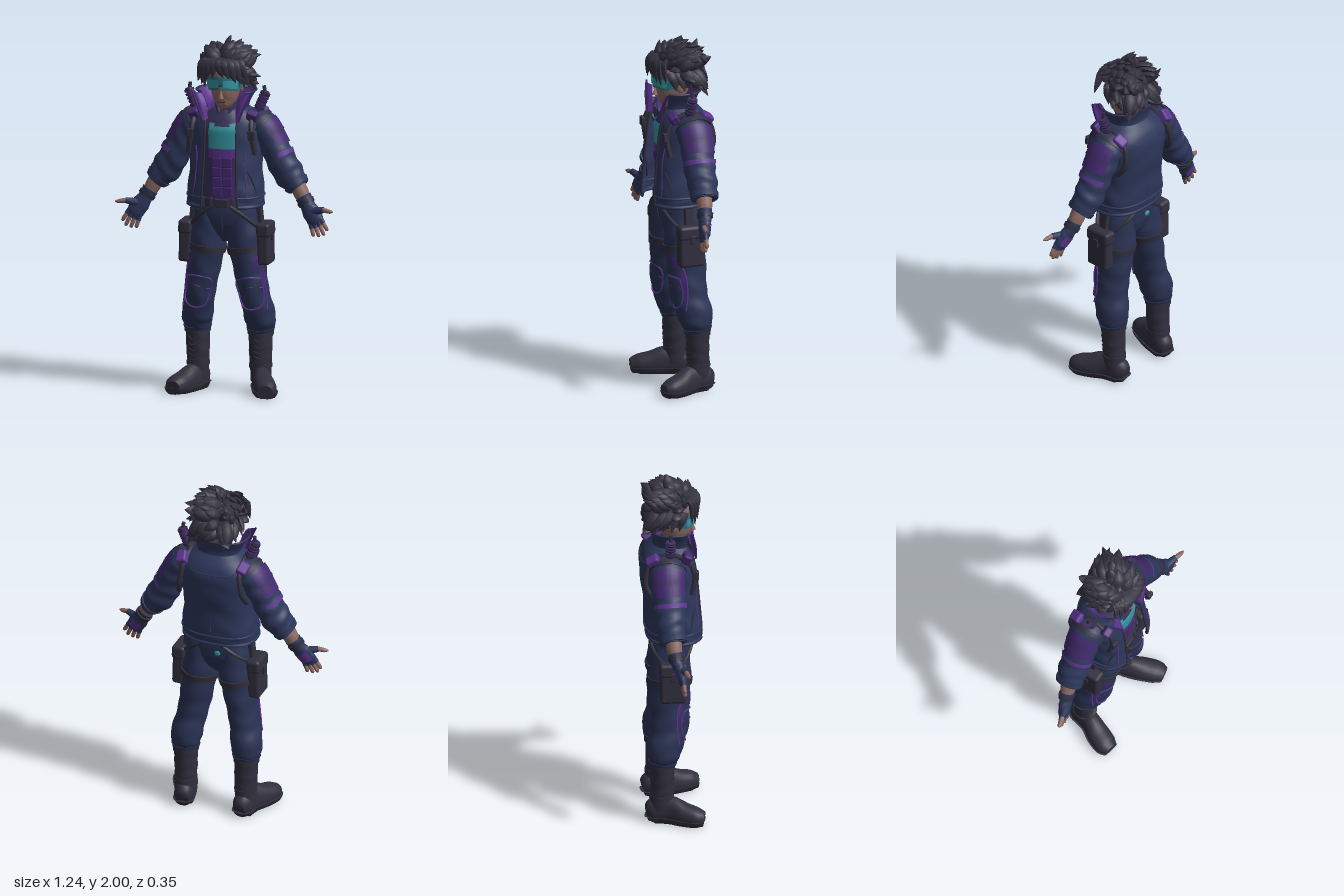
import * as THREE from 'three';
import { mergeGeometries, mergeVertices, toCreasedNormals } from 'three/addons/utils/BufferGeometryUtils.js';
import { ParametricGeometry } from 'three/addons/geometries/ParametricGeometry.js';
import { RoundedBoxGeometry } from 'three/addons/geometries/RoundedBoxGeometry.js';

const V = (x = 0, y = 0, z = 0) => new THREE.Vector3(x, y, z);
const clamp = THREE.MathUtils.clamp, PI = Math.PI, F = PI / 2;
const spline = (pts) => new THREE.CatmullRomCurve3(pts);
const mat = (name, color) => Object.assign(new THREE.MeshStandardMaterial({ color, side: THREE.DoubleSide }), { name });

const M = {
  navy: mat('jacket navy', 0x2d375b), pants: mat('trouser navy', 0x2a3354), skin: mat('skin', 0x8d6a62),
  leather: mat('dark leather', 0x312f3d), hair: mat('hair', 0x353240), purple: mat('purple', 0x43296e),
  violet: mat('violet', 0x5c3590), teal: mat('teal', 0x28707e), cyan: mat('cyan', 0x3697a2), under: mat('undershirt', 0x373258),
};

// Welds a surface and smooths it, keeping hard edges
function finish(g) {
  g.deleteAttribute('normal'); g.deleteAttribute('uv');
  return toCreasedNormals(mergeVertices(g, 1e-5), 1);
}
// Point on a tube of elliptical sections [x, y, z, a, b]; b lies along ref
function surf(secs, o = {}) {
  const path = spline(secs.map((s) => V(s[0], s[1], s[2]))), rad = spline(secs.map((s) => V(s[3], s[4], 0)));
  const p = o.pow || 1, bend = (x) => Math.sign(x) * Math.abs(x) ** p;
  const f = (th, s, off = 0) => {
    const t = path.getTangent(s), v = (o.ref || V(0, 0, 1)).clone();
    v.addScaledVector(t, -v.dot(t)).normalize();
    const u = v.clone().cross(t), r = rad.getPoint(s);
    const k = 1 + (o.fold || 0) * Math.sin(s * (o.freq || 30) + 1.5 * Math.sin(2 * th) + Math.cos(th));
    const q = path.getPoint(s).addScaledVector(u, bend(Math.cos(th)) * (r.x * k + off)).addScaledVector(v, bend(Math.sin(th)) * (r.y * k + off));
    q.y = clamp(q.y, o.minY ?? -9, o.maxY ?? 9);
    return q;
  };
  f.path = path;
  return f;
}
function loft(secs, o = {}) {
  const { from = 0, to = 2 * PI, s0 = 0, s1 = 1, nu = 24, nv = 24, off = 0, cap = true } = o, f = surf(secs, o);
  return finish(new ParametricGeometry((u, v, target) => {
    const row = v * nv, w = cap ? clamp((row - 1) / (nv - 2), 0, 1) : v, s = s0 + (s1 - s0) * w;
    target.copy(f(from + u * (to - from), s, off));
    const k = cap ? clamp(Math.min(row, nv - row), 0, 1) : 1;
    if (k < 1) {
      const c = f.path.getPoint(s);
      c.y = clamp(c.y, o.minY ?? -9, o.maxY ?? 9);
      target.lerp(c, 1 - k);
    }
  }, nu, nv));
}
// Raised patch or band on a tube
const band = (secs, s0, s1, off, from = 0, to = 2 * PI, o = {}) => loft(secs, { ...o, s0, s1, off, from, to, nv: 8, cap: to - from > 6 });
const tube = (pts, r = 0.004, n = 20) => new THREE.TubeGeometry(spline(pts), n, r, 6);
const ball = (x, y, z, a, b, c) => new THREE.SphereGeometry(1, 18, 12).scale(a, b, c).translate(x, y, z);
const box = (w, h, d, x, y, z, rz = 0, rx = 0) => new RoundedBoxGeometry(w, h, d, 2, Math.min(w, h, d) * 0.25).rotateX(rx).rotateZ(rz).translate(x, y, z);
function rod(a, b, r0, r1 = r0) {
  const d = b.clone().sub(a), q = new THREE.Quaternion().setFromUnitVectors(V(0, 1, 0), d.clone().normalize());
  return new THREE.CylinderGeometry(r1, r0, d.length(), 14).applyQuaternion(q).translate(...a.clone().add(b).multiplyScalar(0.5).toArray());
}
function mirror(g) {
  const m = g.clone().scale(-1, 1, 1);
  const idx = m.index ? Array.from(m.index.array) : Array.from({ length: m.attributes.position.count }, (_, i) => i);
  for (let i = 0; i < idx.length; i += 3) [idx[i], idx[i + 1]] = [idx[i + 1], idx[i]];
  m.setIndex(idx);
  return m;
}
// Shell open at the front, rows [y, halfWidth, zFront, zBack, gap]
function shell(rows, inset = 0) {
  const A = spline(rows.map((r) => V(r[0], r[1], r[4]))), B = spline(rows.map((r) => V(r[2], r[3], 0)));
  return (u, v) => {
    const a = A.getPoint(v), b = B.getPoint(v), p0 = Math.asin(Math.min(1, (a.z / a.y) ** 1.25));
    const p = p0 + u * 2 * (PI - p0), e = (x) => Math.sign(x) * Math.abs(x) ** 0.8;
    return V(e(Math.sin(p)) * (a.y - inset), a.x, (b.x + b.y) / 2 + e(Math.cos(p)) * ((b.x - b.y) / 2 - inset));
  };
}
const sheet = (f, nu = 48, nv = 24) => finish(new ParametricGeometry((u, v, t) => t.copy(f(u, v)), nu, nv));

export function createModel() {
  const root = new THREE.Group();
  const add = (name, g, m) => { const o = new THREE.Mesh(g, m); o.name = name; root.add(o); };
  const pair = (name, g, m) => { add(name + 'Left', g, m); add(name + 'Right', mirror(g), m); };

  // Torso and undershirt, built from the top down
  const torso = [[0, 1.6, -0.01, 0.07, 0.07], [0, 1.55, -0.015, 0.13, 0.1], [0, 1.48, -0.02, 0.17, 0.125], [0, 1.35, -0.02, 0.165, 0.12], [0, 1.2, -0.015, 0.155, 0.105], [0, 1.05, -0.01, 0.155, 0.1]];
  add('undershirt', loft(torso), M.under);
  add('chestPlate', band(torso, 0.3, 0.56, 0.006, F - 0.46, F + 0.46), M.cyan);
  pair('chestPlateTab', band(torso, 0.25, 0.3, 0.006, F - 0.5, F - 0.28), M.cyan);
  add('chestBand', band(torso, 0.555, 0.63, 0.009, F - 0.46, F + 0.46), M.violet);
  add('abdomen', band(torso, 0.63, 0.94, 0.003, F - 0.42, F + 0.42), M.purple);
  for (let i = 0; i < 4; i++) pair('abMuscle' + i, box(0.054, 0.052, 0.02, 0.0295, 1.305 - i * 0.055, 0.096 - i * 0.004), M.purple);
  add('neck', rod(V(0, 1.53, -0.02), V(0, 1.68, 0.01), 0.068, 0.056), M.under);
  pair('neckMuscle', rod(V(0.02, 1.55, 0.06), V(0.05, 1.65, 0.03), 0.012), M.under);

  // Open jacket
  const coat = shell([[1.055, 0.205, 0.165, -0.135, 0.105], [1.12, 0.212, 0.17, -0.152, 0.1], [1.25, 0.2, 0.16, -0.155, 0.095], [1.4, 0.2, 0.145, -0.175, 0.09], [1.5, 0.205, 0.132, -0.178, 0.09], [1.56, 0.18, 0.115, -0.155, 0.09], [1.61, 0.12, 0.1, -0.11, 0.085]]);
  add('jacket', sheet((u, v) => {
    const p = coat(u, v), k = 1 + 0.016 * Math.sin(v * 34 + Math.sin(u * 22) * 1.6) * (1 - v);
    return p.set(p.x * k, p.y, p.z * k);
  }, 56, 32), M.navy);
  const along = (f, us, vs) => us.map((u, i) => f(u, vs[i]));
  const steps = Array.from({ length: 21 }, (_, i) => i / 20);
  add('jacketHem', tube(steps.map((u) => coat(u, 0.03)), 0.011, 60), M.navy);
  add('waistSeam', tube(steps.map((u) => coat(u, 0.16)), 0.006, 60), M.navy);
  pair('frontTrim', tube(steps.map((v) => coat(0, v)), 0.006, 30), M.leather);
  pair('frontPiping', tube(along(coat, [0.06, 0.055, 0.05, 0.06], [0.15, 0.3, 0.42, 0.5])), M.violet);
  pair('pocketSeam', tube(along(coat, [0.07, 0.1, 0.13], [0.35, 0.3, 0.2]), 0.005), M.leather);
  add('backPiping', tube(along(coat, [0.5, 0.5, 0.5], [0.2, 0.25, 0.3]), 0.004), M.purple);
  add('backSeam', tube(along(coat, [0.36, 0.43, 0.5, 0.57, 0.64], [0.76, 0.72, 0.71, 0.72, 0.76]), 0.004), M.navy);

  // Flared collar with lining and turned-out lapels
  const flare = [[1.55, 0.125, 0.1, -0.125, 0.09], [1.62, 0.125, 0.105, -0.105, 0.095], [1.7, 0.165, 0.12, -0.125, 0.13]];
  const collar = shell(flare), lining = shell(flare, 0.01);
  add('collar', sheet(collar, 40, 10), M.navy);
  add('collarLining', sheet(lining, 40, 10), M.violet);
  add('collarRim', tube(steps.map((u) => collar(u, 1)), 0.006, 60), M.navy);
  const inner = spline([V(0.078, 1.55, 0.105), V(0.085, 1.63, 0.1), V(0.115, 1.69, 0.09)]);
  const outer = spline([V(0.1, 1.54, 0.128), V(0.135, 1.63, 0.122), V(0.168, 1.705, 0.105)]);
  const lapel = (u, v) => inner.getPoint(v).lerp(outer.getPoint(v), u).add(V(0, 0, 0.012 * Math.sin(PI * u)));
  pair('lapel', sheet(lapel, 6, 10), M.violet);
  pair('lapelEdge', tube(steps.map((v) => lapel(1, v)), 0.006), M.purple);

  // Shoulder harness with upright grips
  pair('shoulderStrap', tube([V(0.19, 1.36, 0.1), V(0.175, 1.46, 0.115), V(0.165, 1.54, 0.085), V(0.16, 1.59, -0.02), V(0.165, 1.54, -0.13), V(0.185, 1.42, -0.155), V(0.2, 1.35, -0.11)], 0.015, 40), M.leather);
  pair('backPad', box(0.06, 0.05, 0.075, 0.18, 1.565, -0.115, -0.35, -0.6), M.violet);
  pair('frontPad', box(0.06, 0.06, 0.05, 0.165, 1.57, 0.07, -0.3, 0.5), M.purple);
  pair('strapBuckle', box(0.04, 0.05, 0.02, 0.175, 1.47, 0.128, 0.1), M.leather);
  const g0 = V(0.165, 1.56, -0.02), g1 = V(0.222, 1.695, -0.02), at = (t) => g0.clone().lerp(g1, t);
  pair('grip', rod(g0, g1, 0.025, 0.021), M.purple);
  for (let i = 0; i < 5; i++) pair('gripRidge' + i, rod(at(0.3 + i * 0.14), at(0.38 + i * 0.14), 0.029), i % 2 ? M.purple : M.leather);
  pair('gripPin', rod(at(0.9), at(0.9).add(V(-0.006, 0.045, 0)), 0.01), M.leather);

  // Sleeves
  const sleeve = [[0.12, 1.53, -0.03, 0.06, 0.08], [0.195, 1.5, -0.035, 0.085, 0.098], [0.25, 1.42, -0.035, 0.08, 0.093], [0.3, 1.32, -0.03, 0.082, 0.088], [0.35, 1.235, -0.03, 0.085, 0.083], [0.41, 1.165, -0.02, 0.055, 0.068]];
  const puff = { fold: 0.04, freq: 34, nv: 44 };
  pair('sleeve', loft(sleeve, puff), M.navy);
  pair('shoulderPatch', band(sleeve, 0.22, 0.48, 0.007, -1.0, 1.1), M.purple);
  pair('shoulderPatchSeam', band(sleeve, 0.33, 0.35, 0.01, -1.0, 1.1), M.under);
  pair('sleeveBand', band(sleeve, 0.54, 0.59, 0.007, -1.2, 1.3), M.violet);
  pair('armholeSeam', band(sleeve, 0.16, 0.19, 0.007), M.leather);
  pair('sleeveCuff', band(sleeve, 0.93, 0.99, 0.008), M.navy);

  // Forearms, gloves and hands
  pair('forearm', loft([[0.385, 1.205, -0.02, 0.045, 0.045], [0.42, 1.14, -0.015, 0.044, 0.043], [0.455, 1.075, -0.005, 0.033, 0.032]]), M.skin);
  const glove = [[0.435, 1.115, -0.01, 0.046, 0.041], [0.46, 1.075, -0.003, 0.041, 0.036], [0.485, 1.035, 0.01, 0.05, 0.031], [0.515, 0.99, 0.022, 0.048, 0.026], [0.526, 0.972, 0.026, 0.036, 0.02]];
  pair('glove', loft(glove, { fold: 0.02 }), M.navy);
  pair('gloveStrap', band(glove, 0.12, 0.24, 0.007), M.leather);
  pair('gloveBackPatch', band(glove, 0.45, 0.75, 0.004, -F - 0.7, -F + 0.7), M.violet);
  [-0.034, -0.011, 0.012, 0.034].forEach((o, i) => {
    const b = V(0.514 + o * 0.83, 0.99 + o * 0.5, 0.025), L = [0.075, 0.09, 0.095, 0.08][i];
    const d = V(0.27 + i * 0.09, -0.95 + i * 0.03, 0.1).multiplyScalar(L), p = (t) => b.clone().addScaledVector(d, t).toArray();
    pair('finger' + i, loft([[...p(0), 0.012, 0.013], [...p(0.6), 0.012, 0.012], [...p(0.93), 0.01, 0.01], [...p(1), 0.004, 0.004]], { nu: 10, nv: 10 }), M.skin);
    pair('fingerSleeve' + i, loft([[...p(-0.1), 0.014, 0.015], [...p(0.4), 0.0138, 0.0138]], { nu: 10, nv: 6 }), M.navy);
  });
  pair('thumb', loft([[0.51, 1.045, 0.025, 0.018, 0.018], [0.56, 1.055, 0.04, 0.014, 0.014], [0.6, 1.05, 0.05, 0.012, 0.012], [0.62, 1.05, 0.055, 0.004, 0.004]], { nu: 10, nv: 12 }), M.skin);
  pair('thumbSleeve', loft([[0.495, 1.04, 0.018, 0.026, 0.024], [0.565, 1.056, 0.041, 0.0165, 0.0165]], { nu: 10, nv: 6 }), M.navy);

  // Hips, belt and trousers
  add('hips', loft([[0, 1.1, -0.01, 0.16, 0.105], [0, 1.02, -0.01, 0.18, 0.112], [0, 0.96, -0.012, 0.18, 0.106], [0, 0.9, -0.015, 0.14, 0.085], [0, 0.85, -0.015, 0.05, 0.04]], { pow: 0.85 }), M.pants);
  add('belt', loft([[0, 1.1, -0.008, 0.168, 0.115], [0, 1.055, -0.008, 0.175, 0.118]], { nv: 6 }), M.leather);
  add('buckle', box(0.07, 0.045, 0.016, 0, 1.078, 0.11), M.leather);
  for (const x of [0.06, 0.11]) pair('beltLoop' + x * 100, box(0.014, 0.06, 0.012, x, 1.078, 0.118 - x * 0.3), M.under);
  add('flySeam', tube([V(0, 1.05, 0.108), V(0, 0.98, 0.102), V(0, 0.92, 0.082)], 0.004), M.pants);
  add('hipTag', ball(-0.03, 1.0, -0.122, 0.018, 0.016, 0.006), M.cyan);
  const leg = [[0.095, 1.03, -0.01, 0.08, 0.1], [0.106, 0.86, -0.015, 0.1, 0.115], [0.13, 0.7, -0.018, 0.09, 0.11], [0.155, 0.55, -0.025, 0.083, 0.102], [0.178, 0.42, -0.055, 0.087, 0.097], [0.18, 0.34, -0.065, 0.068, 0.068]];
  const crease = { fold: 0.024, freq: 36, nv: 48 }, onLeg = surf(leg, crease);
  pair('trouserLeg', loft(leg, crease), M.pants);
  pair('thighStrap', band(leg, 0.235, 0.28, 0.008, 0, 2 * PI, crease), M.leather);
  pair('thighPatch', band(leg, 0.31, 0.39, 0.005, 0.5, 1.05, crease), M.purple);
  pair('ankleCuff', band(leg, 0.95, 0.99, 0.006), M.pants);
  const line = (pts) => tube(pts.map(([a, s]) => onLeg(a, s, 0.003)), 0.005, 36);
  pair('kneeOutline', line([[0.7, 0.47], [1.5, 0.45], [2.4, 0.47], [2.5, 0.56], [2.2, 0.65], [1.5, 0.67], [0.9, 0.65], [0.6, 0.56], [0.7, 0.47]]), M.violet);
  pair('kneeSeam', line([[0.65, 0.54], [1.5, 0.52], [2.45, 0.54]]), M.purple);
  pair('outerSeam', line([[0.55, 0.37], [0.35, 0.46], [0.4, 0.6], [0.7, 0.7]]), M.violet);
  pair('kneePad', band(leg, 0.49, 0.63, 0.004, 0.85, 2.2, crease), M.pants);
  pair('kneeSidePatch', band(leg, 0.4, 0.58, 0.004, 0.4, 0.62, crease), M.purple);
  pair('hipStrap', tube([V(0.05, 1.06, 0.108), V(0.11, 1.02, 0.1), V(0.165, 0.97, 0.07), V(0.2, 0.93, 0.03)], 0.011), M.leather);
  pair('rearHipStrap', tube([V(0.05, 1.06, -0.122), V(0.12, 1.01, -0.112), V(0.175, 0.96, -0.07), V(0.2, 0.93, -0.03)], 0.011), M.leather);

  // Thigh pouches
  pair('pouch', box(0.07, 0.23, 0.145, 0.222, 0.845, -0.008, 0.03), M.leather);
  pair('pouchFlap', box(0.078, 0.08, 0.155, 0.222, 0.925, -0.008, 0.03), M.leather);
  pair('pouchClasp', box(0.012, 0.05, 0.03, 0.262, 0.89, -0.008), M.leather);
  pair('pouchHanger', box(0.03, 0.12, 0.05, 0.19, 1.01, -0.008, 0.1), M.leather);

  // Boots
  const shaft = [[0.18, 0.355, -0.065, 0.067, 0.067], [0.178, 0.24, -0.065, 0.065, 0.065], [0.178, 0.15, -0.068, 0.06, 0.064], [0.18, 0.06, -0.07, 0.057, 0.066]];
  pair('bootShaft', loft(shaft, { fold: 0.015, freq: 24 }), M.leather);
  pair('bootCuff', band(shaft, 0, 0.09, 0.006), M.leather);
  pair('ankleStrap', band(shaft, 0.64, 0.72, 0.004), M.leather);
  const foot = [[0.168, 0.05, -0.148, 0.036, 0.045], [0.174, 0.06, -0.11, 0.054, 0.075], [0.195, 0.06, -0.02, 0.053, 0.088], [0.232, 0.05, 0.06, 0.062, 0.066], [0.256, 0.045, 0.12, 0.06, 0.054], [0.264, 0.04, 0.162, 0.04, 0.036]];
  pair('bootFoot', loft(foot, { ref: V(0, 1, 0), minY: 0.02, pow: 0.9 }), M.leather);
  pair('bootSole', loft(foot, { ref: V(0, 1, 0), off: 0.007, minY: 0, maxY: 0.034, pow: 0.85 }), M.leather);
  const onShaft = surf(shaft);
  for (let i = 0; i < 6; i++) pair('lace' + i, tube([[0.95, 0.16], [1.4, 0.2], [1.9, 0.16]].map(([a, s]) => onShaft(a, s + i * 0.1, 0.001)), 0.004, 8), M.leather);

  // Head and face
  const head = [[0, 1.9, 0, 0.02, 0.02], [0, 1.87, 0, 0.072, 0.085], [0, 1.79, 0.01, 0.09, 0.105], [0, 1.71, 0.02, 0.082, 0.098], [0, 1.65, 0.035, 0.065, 0.078], [0, 1.61, 0.055, 0.036, 0.048], [0, 1.598, 0.06, 0.015, 0.02]];
  add('head', loft(head), M.skin);
  add('nose', new THREE.ConeGeometry(0.016, 0.05, 8).translate(0, 1.695, 0.118), M.skin);
  add('mouth', box(0.045, 0.007, 0.008, 0, 1.648, 0.112), M.under);
  pair('ear', ball(0.085, 1.72, 0, 0.014, 0.032, 0.022), M.skin);
  add('goggleStrap', band(head, 0.38, 0.48, 0.008), M.leather);
  pair('goggleFrame', band(head, 0.36, 0.535, 0.012, F - 1.15, F - 0.1), M.teal);
  add('goggleBridge', band(head, 0.36, 0.46, 0.012, F - 0.12, F + 0.12), M.teal);
  pair('goggleLens', band(head, 0.395, 0.505, 0.018, F - 1.0, F - 0.16), M.cyan);
  pair('goggleHinge', band(head, 0.38, 0.5, 0.016, 0.1, 0.42), M.teal);

  // Broad swept hair locks
  let seed = 7;
  const rnd = () => (seed = (seed * 16807) % 2147483647) / 2147483647;
  const C = V(0, 1.805, -0.005), R = V(0.108, 0.118, 0.118);
  add('hairCap', new THREE.SphereGeometry(1, 24, 16, 0, 2 * PI, 0, 1.75).rotateX(-0.55).scale(R.x, R.y, R.z).translate(C.x, C.y, C.z), M.hair);
  const locks = [], pole = V(0, 0.82, -0.57), count = 120;
  const lock = (p0, p1, p2, w, ref) => {
    const m = p1.clone().lerp(p2, 0.5).lerp(p0, -0.06);
    locks.push(loft([[p0, 0.5, 0.8], [p1, 0.5, 1], [m, 0.35, 0.7], [p2, 0.03, 0.03]].map(([p, a, b]) => [...p.toArray(), w * a, w * b]), { nu: 7, nv: 11, ref }));
  };
  for (let i = 0; i < count; i++) {
    const y = 1 - (2 * (i + 0.5)) / count, r = Math.sqrt(1 - y * y), a = i * 2.39996;
    const n = V(Math.cos(a) * r, y, Math.sin(a) * r);
    if (n.dot(pole) < -0.15) continue;
    const flow = V(n.x > -0.3 ? 0.55 : -0.3, n.y > 0.2 ? 0.3 : -0.35, n.z > 0.5 ? -0.1 : -0.5);
    flow.addScaledVector(n, -0.8 * flow.dot(n)).normalize();
    const L = 0.075 + rnd() * 0.04, s = n.clone().multiply(R);
    const p1 = C.clone().addScaledVector(s, 1.12).addScaledVector(flow, L * 0.3);
    const p2 = C.clone().addScaledVector(s, 1.22 + rnd() * 0.12).addScaledVector(flow, L);
    p2.y = Math.min(p2.y, 1.97);
    p2.z = Math.max(p2.z, -0.165);
    p2.x = Math.min(p2.x, 0.19);
    lock(C.clone().addScaledVector(s, 0.85), p1, p2, 0.029 + rnd() * 0.008, flow.clone().cross(n));
  }
  // Crown tips
  for (const [x, y, z] of [[0.02, 2, -0.03], [0.075, 1.975, -0.06], [-0.05, 1.96, -0.02], [0.12, 1.94, -0.08], [0.18, 1.89, -0.08], [-0.165, 1.79, 0.01], [0.185, 1.77, -0.05], [-0.14, 1.89, 0.0], [0.05, 1.93, -0.155], [0.15, 1.83, 0.04], [-0.15, 1.84, 0.03]]) {
    const p = V(x, y, z), p0 = C.clone().lerp(p, 0.45);
    lock(p0, p0.clone().lerp(p, 0.45).add(V(-0.012, 0.008, 0.008)), p, 0.034, V(0.3, 0.1, 1));
  }
  // Fringe and temples, parted off centre
  for (const [x, tipX, tipY, w] of [[-0.1, -0.135, 1.76, 0.032], [-0.08, -0.11, 1.745, 0.03], [-0.055, -0.085, 1.77, 0.03], [-0.035, -0.04, 1.785, 0.026], [-0.01, 0.02, 1.79, 0.03], [0.015, 0.055, 1.785, 0.032], [0.045, 0.09, 1.765, 0.034], [0.07, 0.12, 1.755, 0.034], [0.095, 0.15, 1.77, 0.034]]) {
    const z = Math.sqrt(0.0185 - x * x);
    lock(V(x * 0.6, 1.88, z * 0.65), V(x * 0.98, 1.87, z + 0.006), V(tipX, tipY, z + 0.012), w, V(1, 0.1, 0));
  }
  for (let i = 0; i < 4; i++) pair('sideLock' + i, loft([[0.085, 1.81, 0.06 - i * 0.035, 0.02, 0.03], [0.108, 1.775, 0.05 - i * 0.04, 0.015, 0.026], [0.112 + (i % 2) * 0.02, 1.71, 0.035 - i * 0.045, 0.001, 0.002]], { nu: 8, nv: 10 }), M.hair);
  add('hairLocks', mergeGeometries(locks), M.hair);
  return root;
}
